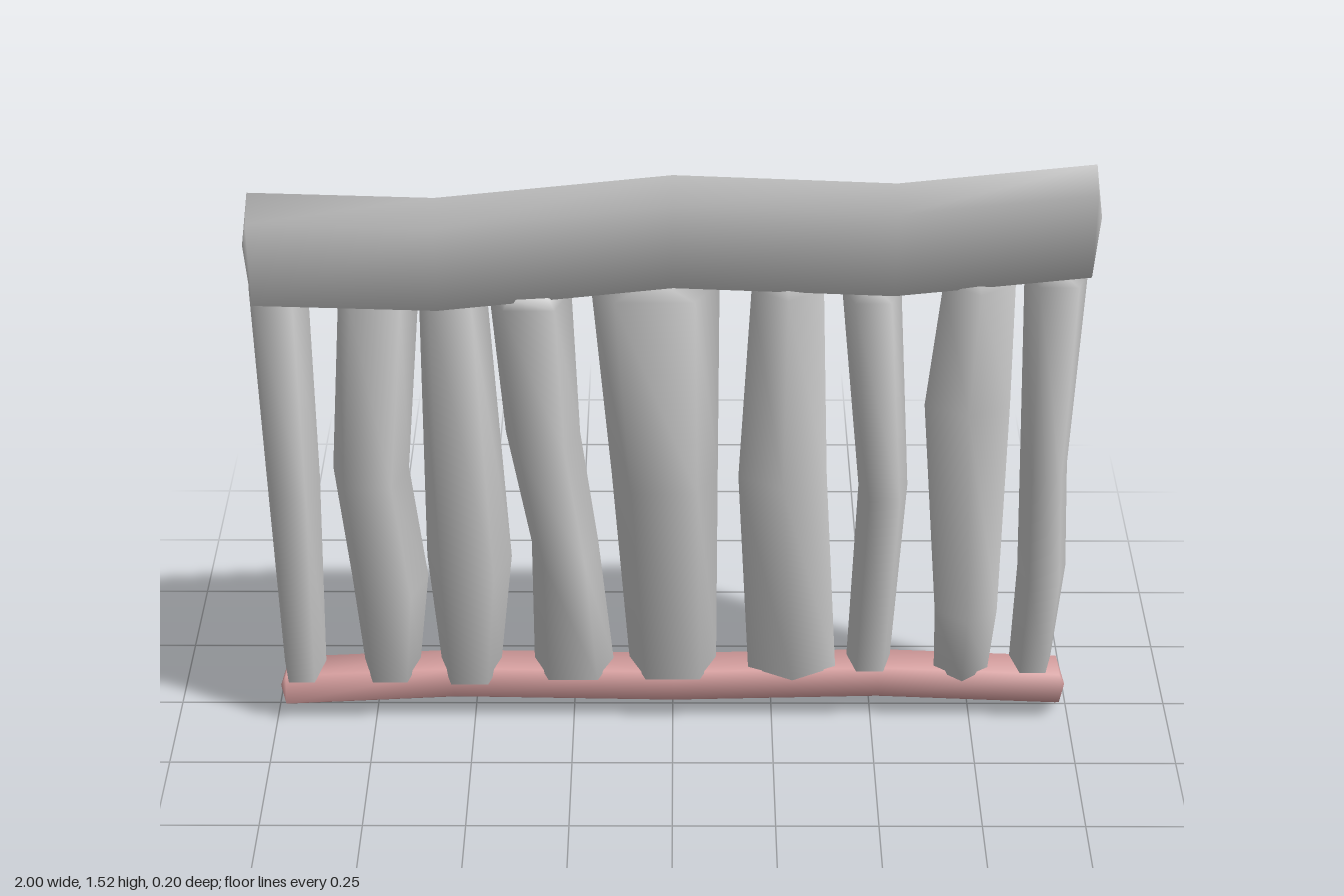
import * as THREE from 'three';

// Closed smooth loft through rings of points, ended by low fans to the two tips.
function loft(rings, tips) {
  const n = rings[0].length, last = (rings.length - 1) * n, first = rings.length * n;
  const idx = [];
  for (let j = 0; j < n; j++) {
    const k = (j + 1) % n;
    for (let i = 0; i < last; i += n) idx.push(i + j, i + k, i + n + j, i + k, i + n + k, i + n + j);
    idx.push(k, j, first, last + j, last + k, first + 1);
  }
  const g = new THREE.BufferGeometry();
  g.setAttribute('position', new THREE.Float32BufferAttribute([...rings.flat(), ...tips].flat(), 3));
  g.setIndex(idx);
  g.computeVertexNormals();
  return g;
}

// Horizontal log: stations [x, yMiddle, zMiddle], section [z, y] in units of its depth and height.
function log(stations, section, height, depth) {
  const rings = stations.map(([x, y, z]) =>
    section.map(([u, v]) => [x, y + v * height, z + u * depth]));
  const tips = [stations[0], stations[stations.length - 1]].map(([x, y, z]) =>
    [x + Math.sign(x) * 0.02, y, z]);
  return loft(rings, tips);
}

// Upright five-sided stake: stations [y, xMiddle, width] from bottom to top.
// The ridge points to the front (+1) or back (-1); the depth swells mid-height.
function stake(stations, ridge, zMiddle, depth) {
  const sides = 5;
  const rings = stations.map(([y, x, width]) => {
    const d = depth * (0.93 + 0.07 * Math.sin(y * 2));
    return Array.from({ length: sides }, (_, j) => {
      const a = ridge * Math.PI / 2 - j / sides * Math.PI * 2;
      return [x + Math.cos(a) / 0.951 * width / 2, y, zMiddle + (Math.sin(a) - ridge * 0.095) / 0.905 * d / 2];
    });
  });
  const tips = [stations[0], stations[stations.length - 1]].map(([y, x], e) =>
    [x, y + (e ? 0.015 : -0.015), zMiddle]);
  return loft(rings, tips);
}

export function createModel() {
  const model = new THREE.Group();
  const grey = new THREE.MeshStandardMaterial({ color: 0xcccccc });
  grey.name = 'pale grey';
  const pink = new THREE.MeshStandardMaterial({ color: 0xd8a0a0 });
  pink.name = 'dusty pink';
  const add = (name, geometry, material) => {
    const mesh = new THREE.Mesh(geometry, material);
    mesh.name = name;
    model.add(mesh);
  };

  // Heavy top beam with a ridged upper edge, steep front and flat underside
  const beamSection = [[0, 0.5], [0.5, 0.32], [0.42, -0.48], [-0.33, -0.5], [-0.48, 0.13]];
  const beamPath = [[-0.98, 1.345, 0.038], [-0.55, 1.33, 0.034], [0, 1.367, -0.01],
    [0.52, 1.345, -0.012], [0.98, 1.388, -0.025]];
  add('topBeam', log(beamPath, beamSection, 0.275, 0.122), grey);

  // Thin bottom rail with its keel pointing down
  const railSection = [[0, -0.5], [-0.5, -0.05], [-0.35, 0.45], [0.3, 0.5], [0.5, -0.05]];
  const railPath = [[-0.975, 0.062, 0.005], [-0.55, 0.077, -0.007], [0, 0.071, -0.002],
    [0.52, 0.077, -0.012], [0.975, 0.062, -0.005]];
  add('bottomRail', log(railPath, railSection, 0.117, 0.14), pink);

  // Nine crooked stakes, from the model's right to its left
  const addStake = (number, ridge, zMiddle, depth, ...stations) =>
    add('stake' + number, stake(stations, ridge, zMiddle, depth), grey);
  addStake(1, -1, 0.01, 0.165, [0.13, -0.93, 0.105], [0.68, -0.927, 0.13], [1.21, -0.93, 0.14]);
  addStake(2, -1, -0.004, 0.165, [0.12, -0.71, 0.14], [0.38, -0.705, 0.19], [0.7, -0.737, 0.185], [1.2, -0.695, 0.19]);
  addStake(3, -1, -0.003, 0.165, [0.115, -0.51, 0.15], [0.44, -0.505, 0.21], [1.2, -0.52, 0.16]);
  addStake(4, -1, -0.007, 0.16, [0.125, -0.25, 0.2], [0.48, -0.267, 0.165], [0.8, -0.315, 0.18],
    [1.19, -0.337, 0.195], [1.22, -0.335, 0.15]);
  addStake(5, -1, -0.015, 0.17, [0.125, 0, 0.22], [0.68, -0.02, 0.26], [1.21, -0.042, 0.305]);
  addStake(6, 1, 0, 0.16, [0.13, 0.3, 0.22], [0.7, 0.267, 0.215], [1.22, 0.27, 0.17]);
  addStake(7, -1, -0.01, 0.13, [0.14, 0.495, 0.11], [0.65, 0.515, 0.12], [1.2, 0.47, 0.14]);
  addStake(8, 1, -0.006, 0.15, [0.12, 0.727, 0.135], [0.3, 0.732, 0.155], [0.9, 0.707, 0.205], [1.23, 0.72, 0.17]);
  addStake(9, -1, -0.027, 0.135, [0.125, 0.907, 0.105], [0.4, 0.92, 0.12], [0.7, 0.907, 0.115], [1.235, 0.905, 0.15]);
  return model;
}
